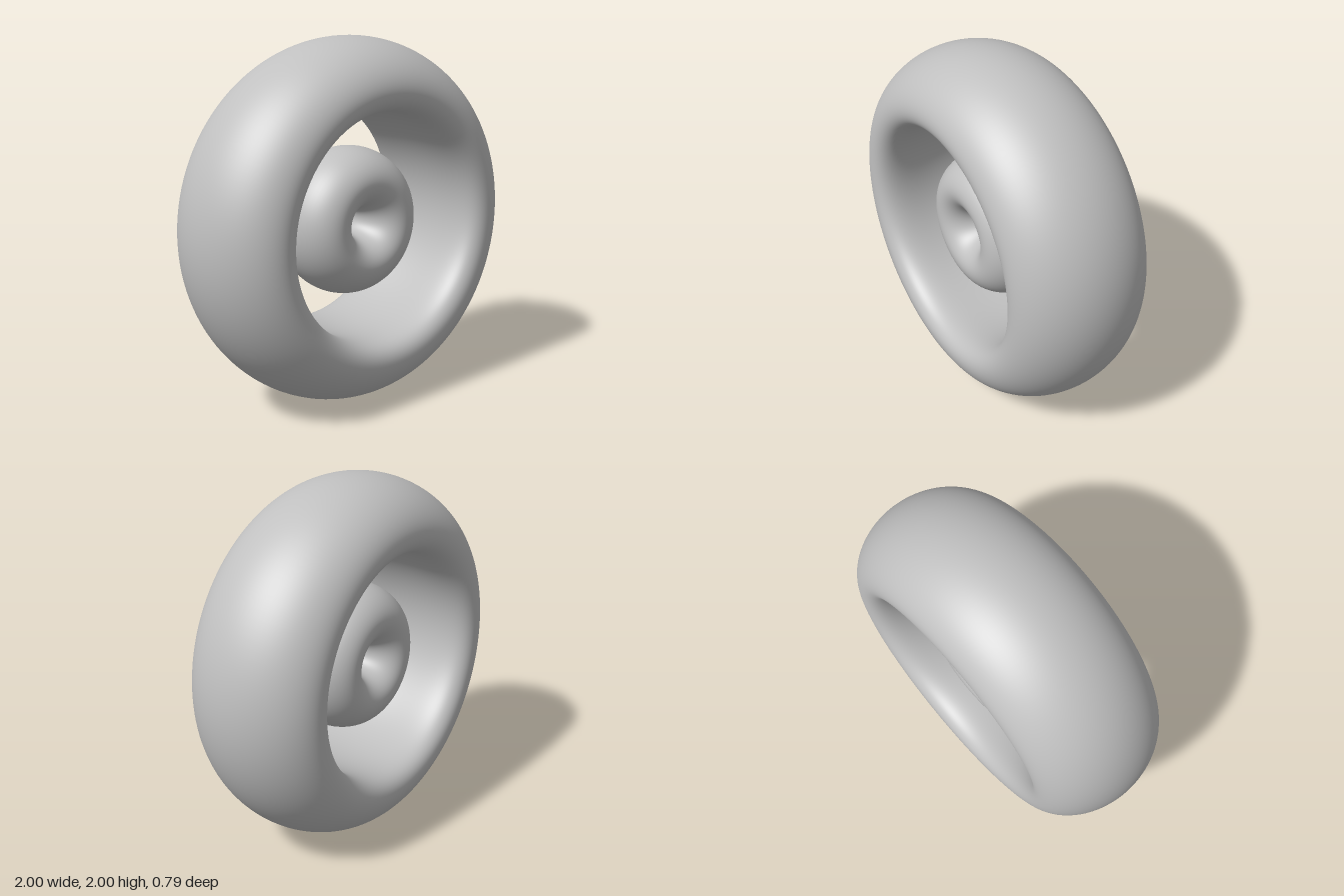
import * as THREE from 'three';

// Both rings are level surfaces of rho^2 * (12 - r) * exp(-r / 4),
// where rho is the distance from the axis and r the distance from the centre.
const LEVEL = 16.6;
const field = (r) => r * r * Math.abs(12 - r) * Math.exp(-r / 4);

// Radius between a and b where the field crosses the level on the mid plane
function crossing(a, b) {
  const rising = field(b) > field(a);
  for (let i = 0; i < 60; i++) {
    const m = (a + b) / 2;
    if ((field(m) > LEVEL) === rising) b = m;
    else a = m;
  }
  return (a + b) / 2;
}

// Closed cross-section between two radii, revolved about the axis
function ringGeometry(rIn, rOut, scale, steps) {
  const points = [];
  for (let i = 0; i <= steps; i++) {
    const t = (i / steps) * Math.PI * 2;
    const r = (rIn + rOut) / 2 + ((rOut - rIn) / 2) * Math.cos(t);
    const rho = Math.sqrt((LEVEL * Math.exp(r / 4)) / Math.abs(12 - r));
    const half = i % (steps / 2) === 0 ? 0 : Math.sqrt(Math.max(0, r * r - rho * rho));
    points.push(new THREE.Vector2(rho * scale, Math.sign(Math.sin(t)) * half * scale));
  }
  const geometry = new THREE.LatheGeometry(points, 128);
  // The profile starts and ends on the outer rim, where normals are radial
  const normal = geometry.attributes.normal;
  for (let s = 0; s <= 128; s++) {
    const a = (s / 128) * Math.PI * 2;
    for (const j of [0, steps]) normal.setXYZ(s * (steps + 1) + j, Math.sin(a), 0, Math.cos(a));
  }
  return geometry.rotateX(Math.PI / 2);
}

export function createModel() {
  const model = new THREE.Group();
  model.name = 'nestedRings';
  const grey = new THREE.MeshStandardMaterial({ color: 0xc0c0c0 });
  grey.name = 'light grey';

  const rim = crossing(19, 40);
  const scale = 1 / rim;

  // Large hollow-walled ring, and the small ring floating at its centre
  const parts = [
    ['outerRing', crossing(12, 18.5), rim],
    ['innerRing', crossing(0, 5), crossing(5.1, 12)],
  ];
  for (const [name, rIn, rOut] of parts) {
    const mesh = new THREE.Mesh(ringGeometry(rIn, rOut, scale, 96), grey);
    mesh.name = name;
    mesh.position.y = 1;
    model.add(mesh);
  }
  return model;
}
